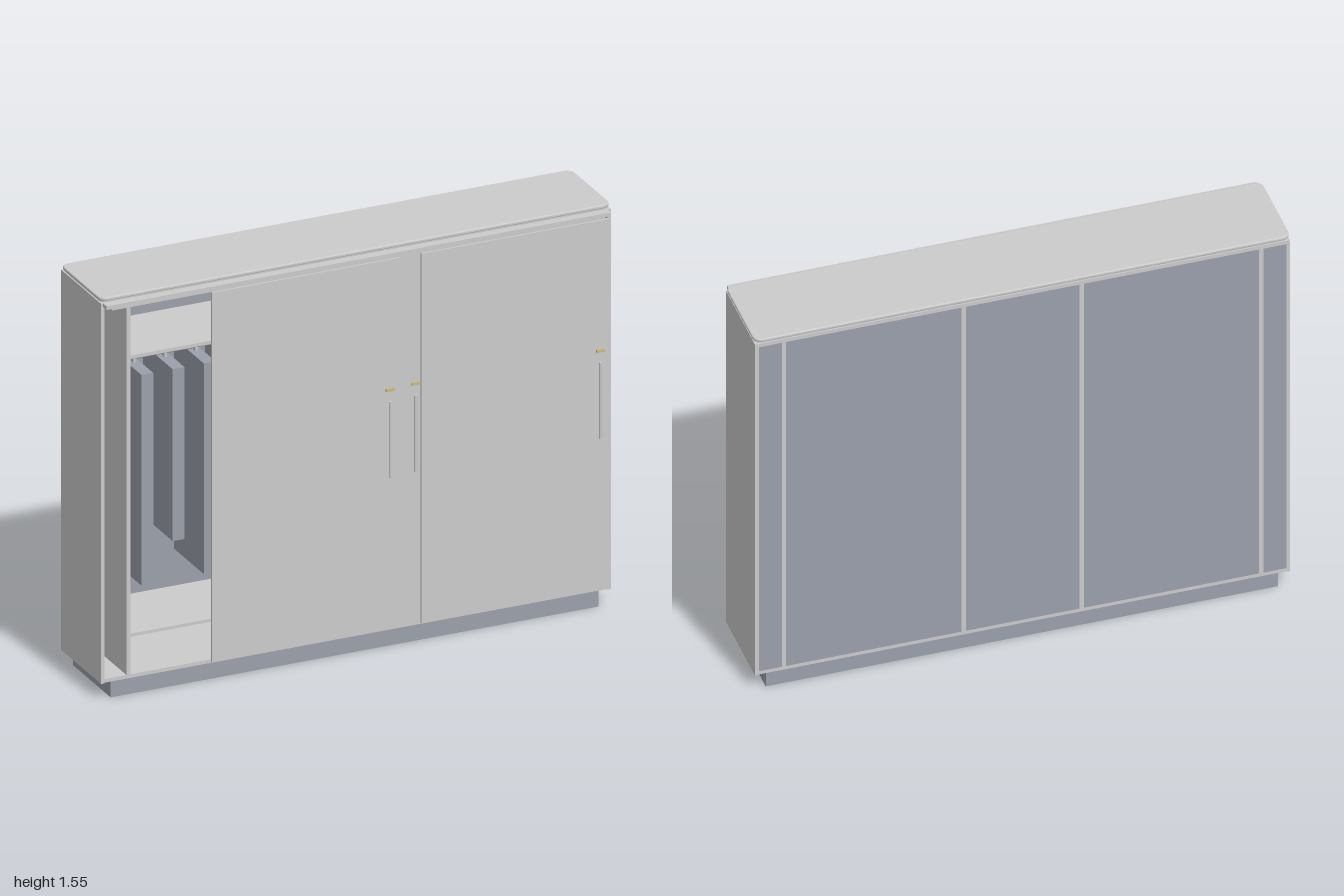
import * as THREE from 'three';

const grey = new THREE.MeshStandardMaterial({ color: 0xcccccc });
const slate = new THREE.MeshStandardMaterial({ color: 0x9aa0ab });
const brass = new THREE.MeshStandardMaterial({ color: 0xc9bb78 });

// Box given by its min and max on each axis
function box(parent, name, [x0, x1], [y0, y1], [z0, z1], material = grey) {
  const mesh = new THREE.Mesh(new THREE.BoxGeometry(x1 - x0, y1 - y0, z1 - z0), material);
  mesh.position.set((x0 + x1) / 2, (y0 + y1) / 2, (z0 + z1) / 2);
  mesh.name = name;
  parent.add(mesh);
  return mesh;
}

// Horizontal board with rounded corners and softened edges
function roundedBoard(parent, name, w, z0, z1, y0, y1, r, bevel) {
  const x = w / 2 - bevel, a = z0 + bevel, b = z1 - bevel;
  const s = new THREE.Shape();
  s.moveTo(-x + r, -b);
  s.lineTo(x - r, -b);
  s.quadraticCurveTo(x, -b, x, -b + r);
  s.lineTo(x, -a - r);
  s.quadraticCurveTo(x, -a, x - r, -a);
  s.lineTo(-x + r, -a);
  s.quadraticCurveTo(-x, -a, -x, -a - r);
  s.lineTo(-x, -b + r);
  s.quadraticCurveTo(-x, -b, -x + r, -b);
  const geo = new THREE.ExtrudeGeometry(s, {
    depth: y1 - y0 - 2 * bevel, bevelEnabled: true, bevelSize: bevel,
    bevelThickness: bevel, bevelSegments: 2, curveSegments: 6,
  });
  geo.rotateX(-Math.PI / 2);
  geo.translate(0, y0 + bevel, 0);
  const mesh = new THREE.Mesh(geo, grey);
  mesh.name = name;
  parent.add(mesh);
}

// Sliding door with its bar handle and lock
function slidingDoor(parent, name, x0, x1, z0, z1, handleX) {
  const door = new THREE.Group();
  door.name = name;
  box(door, 'doorPanel', [x0, x1], [0.08, 1.51], [z0, z1]);
  const handle = new THREE.Mesh(new THREE.CylinderGeometry(0.006, 0.006, 0.295, 12), grey);
  handle.position.set(handleX, 0.817, z1 + 0.007);
  handle.name = 'handle';
  door.add(handle);
  box(door, 'lock', [handleX - 0.016, handleX + 0.016], [1.003, 1.013], [z1, z1 + 0.008], brass);
  parent.add(door);
}

// Hanging compartment: shelves, rail and garments
function hangingBay(parent, side) {
  const bay = new THREE.Group();
  bay.name = side < 0 ? 'rightHangingBay' : 'leftHangingBay';
  const span = (a, b) => (side < 0 ? [-b, -a] : [a, b]);
  box(bay, 'hatShelf', span(0.227, 0.883), [1.3, 1.313], [-0.172, 0.15]);
  box(bay, 'bottomShelf', span(0.227, 0.883), [0.225, 0.237], [-0.172, 0.15]);
  box(bay, 'lightStrip', span(0.24, 0.87), [1.281, 1.289], [-0.01, 0.01], slate);
  const rail = new THREE.Mesh(new THREE.CylinderGeometry(0.009, 0.009, 0.64, 16), grey);
  rail.rotation.z = Math.PI / 2;
  rail.position.set(side * 0.545, 1.235, 0);
  rail.name = 'hangingRail';
  bay.add(rail);
  for (let i = 0; i < 5; i++) {
    const x = 0.802 - i * 0.122;
    box(bay, 'garment', span(x - 0.023, x + 0.023), [i % 2 ? 0.55 : 0.4, 1.215], [-0.13, 0.12], slate);
    box(bay, 'hanger', span(x - 0.004, x + 0.004), [1.215, 1.23], [-0.01, 0.01]);
  }
  parent.add(bay);
}

export function createModel() {
  const model = new THREE.Group();
  model.name = 'slidingDoorWardrobe';

  // Carcass
  box(model, 'plinth', [-0.955, 0.955], [0, 0.066], [-0.175, 0.14], slate);
  box(model, 'bottomBoard', [-0.985, 0.985], [0.066, 0.08], [-0.184, 0.15]);
  box(model, 'topBoard', [-0.985, 0.985], [1.52, 1.535], [-0.184, 0.15]);
  roundedBoard(model, 'topTrim', 1.985, -0.18, 0.146, 1.533, 1.544, 0.025, 0.002);
  roundedBoard(model, 'topPanel', 2, -0.187, 0.152, 1.541, 1.555, 0.03, 0.004);
  for (const s of [-1, 1]) {
    const side = s < 0 ? 'right' : 'left';
    box(model, side + 'SidePanel', s < 0 ? [-0.998, -0.984] : [0.984, 0.998], [0.064, 1.535], [-0.185, 0.152]);
  }

  // Upright partitions, their rear edges showing between the back panels
  const uprights = [-0.89, -0.22, 0.22, 0.89];
  for (const x of uprights) box(model, 'partition', [x - 0.008, x + 0.008], [0.08, 1.52], [-0.185, 0.15]);
  const edges = [-0.992, ...uprights, 0.992];
  for (let i = 0; i < 5; i++) {
    box(model, 'backPanel', [edges[i] + 0.008, edges[i + 1] - 0.008], [0.08, 1.52], [-0.184, -0.172], slate);
  }

  // Compartments
  hangingBay(model, -1);
  hangingBay(model, 1);
  for (const y of [0.225, 0.49, 0.76, 1.03, 1.3]) {
    box(model, 'middleShelf', [-0.213, 0.213], [y, y + 0.012], [-0.172, 0.15]);
  }

  // Door track
  box(model, 'trackCover', [-0.99, 0.985], [1.521, 1.535], [0.15, 0.18]);
  box(model, 'trackRunner', [-0.965, 0.965], [1.511, 1.521], [0.155, 0.159]);
  box(model, 'trackRunner', [-0.965, 0.965], [1.511, 1.521], [0.168, 0.172]);

  // Doors: two on the outer track, one behind
  slidingDoor(model, 'rightDoor', -0.575, 0.16, 0.166, 0.177, 0.12);
  slidingDoor(model, 'middleDoor', -0.47, 0.265, 0.153, 0.163, 0.225);
  slidingDoor(model, 'leftDoor', 0.245, 0.98, 0.166, 0.177, 0.943);

  return model;
}
